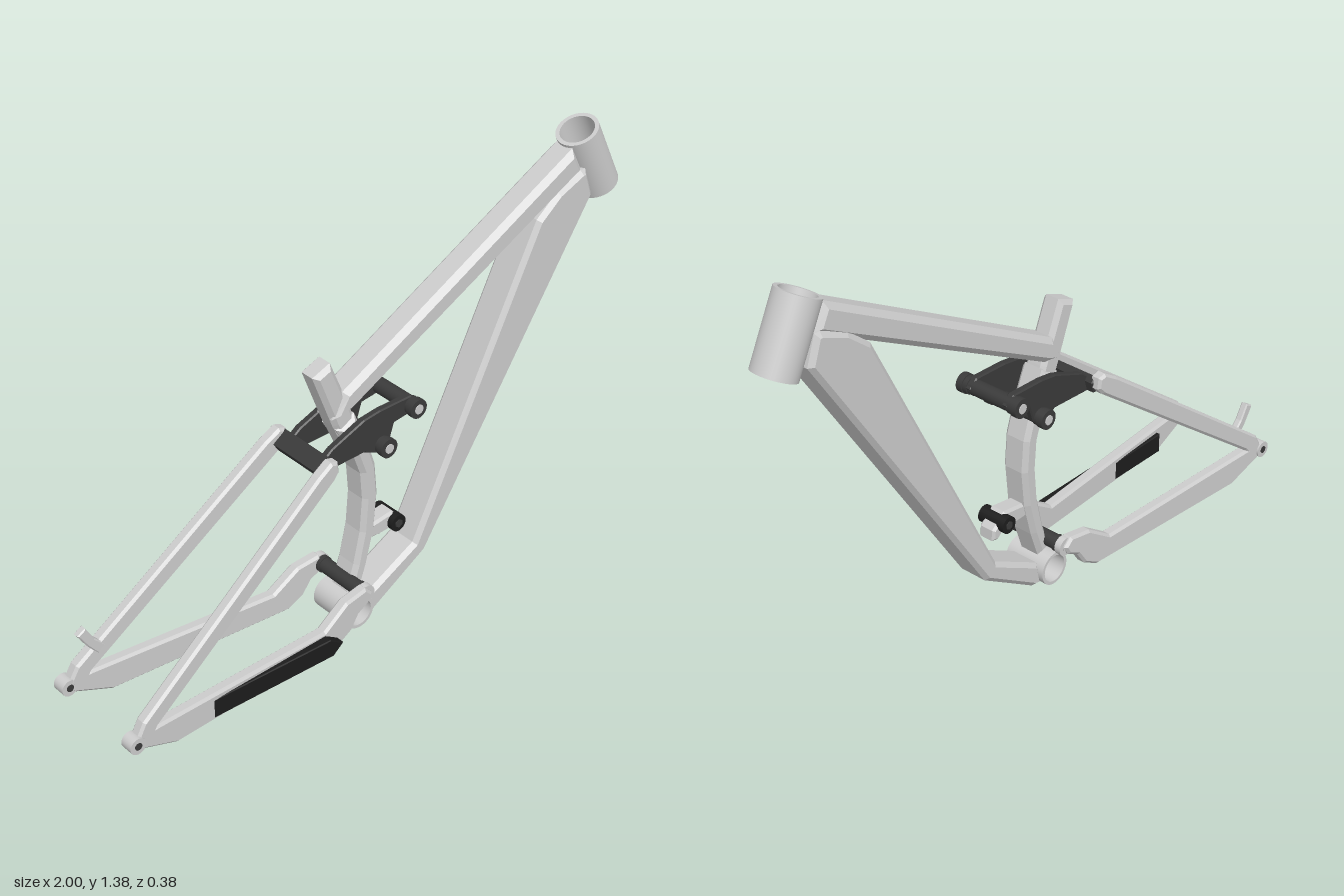
import * as THREE from 'three';

const grey = new THREE.MeshStandardMaterial({ color: 0xcccccc });
const dark = new THREE.MeshStandardMaterial({ color: 0x3a3a3a });
const black = new THREE.MeshStandardMaterial({ color: 0x1c1c1c });

// Side profile extruded across z with chamfered edges; halfWidth is the outer half width
function profile(name, points, halfWidth, bevel, material = grey) {
  const shape = new THREE.Shape(points.map(([x, y]) => new THREE.Vector2(x, y)));
  const geometry = new THREE.ExtrudeGeometry(shape, {
    depth: 2 * (halfWidth - bevel), bevelEnabled: bevel > 0, bevelSegments: 1,
    bevelThickness: bevel, bevelSize: bevel, bevelOffset: -bevel,
  });
  geometry.translate(0, 0, bevel - halfWidth);
  const mesh = new THREE.Mesh(geometry, material);
  mesh.name = name;
  return mesh;
}

// Outline of a bar following centre points [x, y, width]
function barOutline(path) {
  const left = [], right = [];
  path.forEach(([x, y, w], i) => {
    const a = path[Math.max(i - 1, 0)], b = path[Math.min(i + 1, path.length - 1)];
    const dx = b[0] - a[0], dy = b[1] - a[1], l = Math.hypot(dx, dy);
    const nx = -dy / l * w / 2, ny = dx / l * w / 2;
    left.push([x + nx, y + ny]);
    right.unshift([x - nx, y - ny]);
  });
  return [...left, ...right];
}

// Spreads a rear stay outwards towards the axle
function splay(mesh, side) {
  const p = mesh.geometry.attributes.position;
  for (let i = 0; i < p.count; i++) {
    p.setZ(i, p.getZ(i) + side * (0.108 + 0.061 * (-0.07 - p.getX(i))));
  }
  mesh.geometry.computeVertexNormals();
  return mesh;
}

// Solid cylinder lying along z
function pin(name, x, y, z, radius, length, material, sides = 24) {
  const geometry = new THREE.CylinderGeometry(radius, radius, length, sides);
  geometry.rotateX(Math.PI / 2);
  const mesh = new THREE.Mesh(geometry, material);
  mesh.position.set(x, y, z);
  mesh.name = name;
  return mesh;
}

// Open tube with a wall, standing along y
function hollowTube(name, outer, inner, length) {
  const h = length / 2;
  const shape = new THREE.Shape().absarc(0, 0, outer, 0, Math.PI * 2, false);
  shape.holes.push(new THREE.Path().absarc(0, 0, inner, 0, Math.PI * 2, true));
  const tube = new THREE.Group();
  tube.name = name;
  for (const [r, inside] of [[outer, false], [inner, true]]) {
    const wall = new THREE.CylinderGeometry(r, r, length, 40, 1, true);
    const material = grey.clone();
    if (inside) material.side = THREE.BackSide;
    tube.add(new THREE.Mesh(wall, material));
  }
  for (const s of [-1, 1]) {
    const rim = new THREE.Mesh(new THREE.RingGeometry(inner, outer, 40), grey);
    rim.rotation.x = -s * Math.PI / 2;
    rim.position.y = s * h;
    tube.add(rim);
  }
  return tube;
}

// Pivot axle with a flanged cap and bolt at each end
function pivot(name, x, y, capMaterial, radius) {
  const group = new THREE.Group();
  group.name = name;
  group.add(pin('axle', x, y, 0, radius * 0.8, 0.2, dark));
  for (const s of [-1, 1]) {
    group.add(pin('cap', x, y, s * 0.105, radius, 0.022, capMaterial));
    group.add(pin('collar', x, y, s * 0.088, radius * 0.9, 0.02, dark));
    group.add(pin('bolt', x, y, s * 0.106, radius * 0.5, 0.026, grey, 12));
  }
  return group;
}

export function createModel() {
  const model = new THREE.Group();

  // Head tube, raked back
  const top = new THREE.Vector2(0.84, 1.349), bottom = new THREE.Vector2(0.938, 1.144);
  const headTube = hollowTube('headTube', 0.067, 0.054, top.distanceTo(bottom));
  headTube.position.set((top.x + bottom.x) / 2, (top.y + bottom.y) / 2, 0);
  headTube.rotation.z = Math.atan2(bottom.x - top.x, top.y - bottom.y);
  model.add(headTube);

  // Main frame tubes
  model.add(profile('topTube', [
    [0.79, 1.315], [0.83, 1.235], [-0.07, 0.765], [-0.14, 0.755], [-0.10, 0.835],
  ], 0.05, 0.018));
  model.add(profile('downTube', [
    [0.64, 1.135], [0.72, 1.2], [0.815, 1.24], [0.835, 1.24], [0.865, 1.15],
    [0.21, 0.145], [0.0, 0.015], [-0.035, 0.012], [-0.02, 0.09], [0.165, 0.19],
  ], 0.06, 0.014));
  model.add(profile('upperSeatTube', barOutline([
    [-0.17, 0.93, 0.07], [-0.095, 0.74, 0.075], [-0.05, 0.63, 0.065],
  ]), 0.037, 0.014));
  model.add(profile('lowerSeatTube', barOutline([
    [-0.09, 0.73, 0.075], [-0.035, 0.62, 0.06], [-0.005, 0.53, 0.057], [0.003, 0.43, 0.057],
    [-0.008, 0.31, 0.055], [-0.035, 0.2, 0.052], [-0.065, 0.11, 0.05],
  ]), 0.046, 0.014));

  // Bottom bracket shell
  const shell = hollowTube('bottomBracket', 0.055, 0.045, 0.15);
  shell.rotation.x = Math.PI / 2;
  shell.position.set(-0.072, 0.055, 0);
  model.add(shell);

  // Lower shock mount
  model.add(profile('shockMount', [
    [-0.01, 0.265], [-0.01, 0.31], [0.1, 0.325], [0.15, 0.28], [0.152, 0.245],
    [0.13, 0.24], [0.1, 0.265], [0.05, 0.262],
  ], 0.03, 0.008));
  model.add(pin('shockPin', 0.105, 0.29, 0, 0.028, 0.1, black));
  model.add(pin('shockBolt', 0.105, 0.29, 0, 0.014, 0.106, dark, 6));

  // Rocker link: two plates, rear cross bar and pivots
  const rocker = new THREE.Group();
  rocker.name = 'rockerLink';
  for (const s of [-1, 1]) {
    const plate = profile('rockerPlate', [
      [-0.24, 0.655], [-0.18, 0.7], [-0.06, 0.747], [0.0, 0.755], [0.12, 0.757], [0.148, 0.73],
      [0.13, 0.7], [0.055, 0.69], [0.035, 0.63], [0.0, 0.608], [-0.06, 0.635], [-0.21, 0.63],
    ], 0.012, 0.004, dark);
    plate.position.z = s * 0.072;
    rocker.add(plate);
  }
  rocker.add(profile('rockerBridge', [
    [-0.25, 0.655], [-0.205, 0.69], [-0.19, 0.67], [-0.2, 0.635], [-0.235, 0.63],
  ], 0.112, 0.004, dark));
  rocker.add(pivot('shockPivot', 0.12, 0.725, dark, 0.031));
  rocker.add(pivot('framePivot', 0.007, 0.637, dark, 0.031));
  model.add(rocker);

  // Rear triangle, mirrored
  for (const s of [-1, 1]) {
    const stays = new THREE.Group();
    stays.name = s > 0 ? 'leftRearTriangle' : 'rightRearTriangle';
    stays.add(splay(profile('seatStay', [
      [-0.975, 0.12], [-0.945, 0.172], [-0.275, 0.668], [-0.225, 0.698], [-0.2, 0.69],
      [-0.195, 0.655], [-0.215, 0.632], [-0.895, 0.136], [-0.93, 0.08],
    ], 0.02, 0.008), s));
    stays.add(splay(profile('chainStay', [
      [-0.965, 0.13], [-0.9, 0.136], [-0.26, 0.112], [-0.17, 0.172], [-0.09, 0.183],
      [-0.063, 0.155], [-0.08, 0.125], [-0.12, 0.105], [-0.15, 0.06], [-0.205, 0.03],
      [-0.83, 0.035], [-0.97, 0.09],
    ], 0.02, 0.008), s));
    stays.add(pin('dropout', -0.973, 0.11, s * 0.165, 0.027, 0.044, grey));
    stays.add(pin('axleHole', -0.973, 0.11, s * 0.165, 0.012, 0.047, dark, 16));
    model.add(stays);
  }
  model.add(pivot('chainStayPivot', -0.078, 0.15, grey, 0.03));

  // Guard pad wrapped on the left chain stay
  const guard = profile('chainStayGuard', [
    [-0.82, 0.045], [-0.82, 0.112], [-0.26, 0.1], [-0.212, 0.068], [-0.25, 0.035],
  ], 0.023, 0.003, black);
  guard.position.z = 0.143;
  model.add(guard);

  // Brake tab on the right seat stay
  const tab = profile('brakeTab', barOutline([
    [-0.86, 0.2, 0.035], [-0.895, 0.24, 0.03], [-0.925, 0.29, 0.032],
  ]), 0.012, 0.004);
  tab.position.z = -0.147;
  model.add(tab);

  return model;
}
